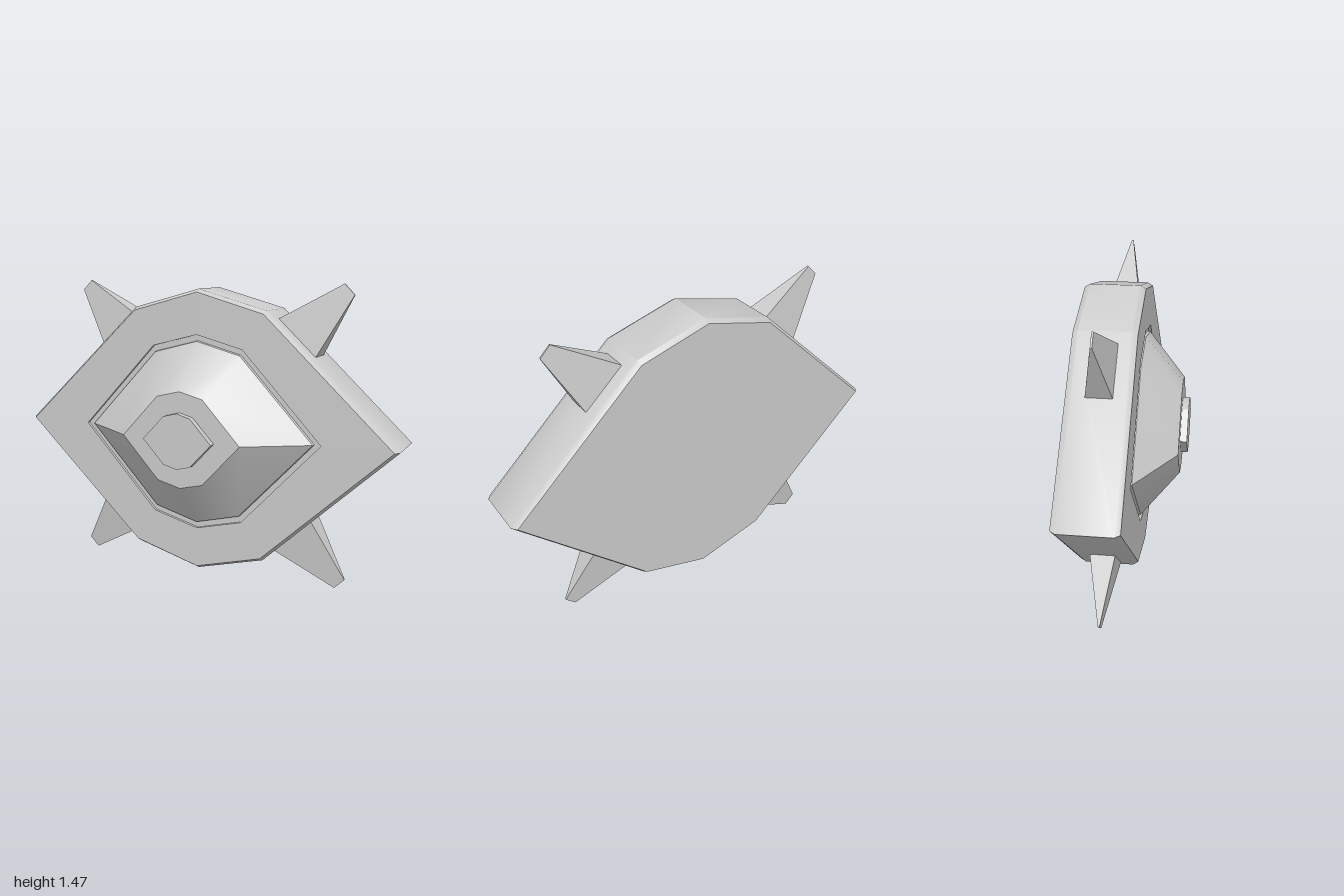
import * as THREE from 'three';
import { toCreasedNormals } from 'three/addons/utils/BufferGeometryUtils.js';

const CENTRE_Y = 0.735;
const material = new THREE.MeshStandardMaterial({ color: 0xcccccc });

// Skin a stack of counter-clockwise outlines along +z and cap both ends.
function loft(sections, crease = 0.53) {
  const positions = [];
  const n = sections[0].outline.length;
  const vertex = (s, i) => [...s.outline[i % n], s.z];
  const triangle = (...corners) => corners.forEach((c) => positions.push(...c));
  for (let k = 0; k < sections.length - 1; k++) {
    const lower = sections[k], upper = sections[k + 1];
    for (let i = 0; i < n; i++) {
      const a = vertex(lower, i), b = vertex(lower, i + 1);
      const c = vertex(upper, i + 1), d = vertex(upper, i);
      triangle(a, b, c);
      triangle(a, c, d);
    }
  }
  const first = sections[0], last = sections[sections.length - 1];
  for (let i = 1; i < n - 1; i++) {
    triangle(vertex(first, 0), vertex(first, i + 1), vertex(first, i));
    triangle(vertex(last, 0), vertex(last, i), vertex(last, i + 1));
  }
  const geometry = new THREE.BufferGeometry();
  geometry.setAttribute('position', new THREE.Float32BufferAttribute(positions, 3));
  return toCreasedNormals(geometry, crease);
}

// Eight-point outline with pointed sides: side tip a, shoulder (b, c), crown d.
const octagon = (z, a, b, c, d) => ({
  z,
  outline: [[a, 0], [b, c], [0, d], [-b, c], [-a, 0], [-b, -c], [0, -d], [b, -c]],
});

const rectangle = (z, w, t) => ({ z, outline: [[w, -t], [w, t], [-w, t], [-w, -t]] });

export function createModel() {
  const group = new THREE.Group();
  const add = (name, geometry) => {
    const mesh = new THREE.Mesh(geometry, material);
    mesh.name = name;
    mesh.position.y = CENTRE_Y;
    group.add(mesh);
    return mesh;
  };

  // Bevelled plate with a shallow recess around the dome
  add('bodyPlate', loft([
    octagon(-0.25, 0.98, 0.345, 0.595, 0.69),
    octagon(-0.225, 1, 0.35, 0.61, 0.705),
    octagon(0.01, 1, 0.35, 0.61, 0.705),
    octagon(0.035, 0.98, 0.345, 0.595, 0.69),
    octagon(0.035, 0.64, 0.24, 0.425, 0.487),
    octagon(0.02, 0.64, 0.24, 0.425, 0.487),
  ]));

  // Sloping dome and its small front button
  add('frontDome', loft([
    octagon(0.015, 0.605, 0.23, 0.398, 0.458),
    octagon(0.035, 0.6, 0.228, 0.395, 0.455),
    octagon(0.217, 0.31, 0.12, 0.205, 0.235),
  ]));
  add('frontButton', loft([
    octagon(0.21, 0.18, 0.07, 0.117, 0.135),
    octagon(0.25, 0.18, 0.07, 0.117, 0.135),
  ]));

  // Four wedge-shaped diagonal spikes
  const spike = loft([
    rectangle(0.66, 0.127, 0.06),
    rectangle(0.683, 0.127, 0.06),
    rectangle(1.004, 0.035, 0.004),
  ], 0.1).rotateX(-Math.PI / 2);
  for (const [side, sx] of [['Left', 1], ['Right', -1]]) {
    for (const [level, sy] of [['upper', 1], ['lower', -1]]) {
      const mesh = add(`${level}${side}Spike`, spike);
      mesh.position.z = -0.105;
      mesh.rotation.z = Math.atan2(sy, sx) - Math.PI / 2;
    }
  }
  return group;
}
